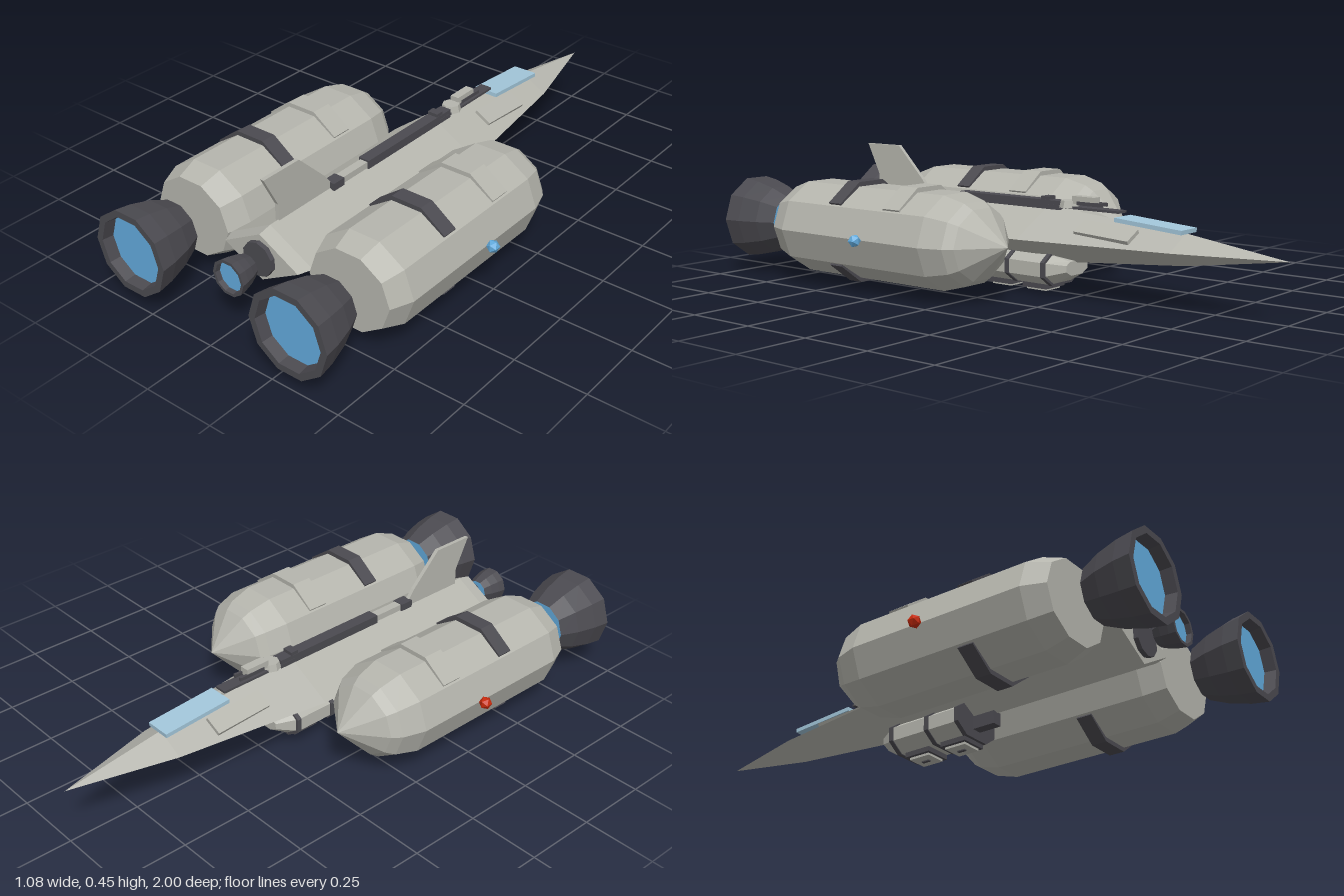
import * as THREE from 'three';

const flat = (name, color) => new THREE.MeshStandardMaterial({ name, color, flatShading: true });

export function createModel() {
  const grey = flat('hull grey', 0xb5b5ad);
  const dark = flat('dark metal', 0x4b4a50);
  const blue = flat('glow blue', 0x62aadc);
  const pale = flat('canopy blue', 0xa2c6da);
  const red = flat('signal red', 0xc82a0c);
  const model = new THREE.Group();
  const Y = 0.192;

  function add(name, geo, mat, x = 0, y = 0, z = 0, parent = model) {
    const mesh = new THREE.Mesh(geo, mat);
    mesh.name = name;
    mesh.position.set(x, y, z);
    parent.add(mesh);
    return mesh;
  }
  const box = (name, mat, w, h, d, x, y, z, parent) =>
    add(name, new THREE.BoxGeometry(w, h, d), mat, x, y, z, parent);

  // faceted body along z from [radius, z] pairs in rising z
  function turned(profile, sides, phi = 0, sy = 1) {
    const pts = profile.map(([r, z]) => new THREE.Vector2(r, z));
    return new THREE.LatheGeometry(pts, sides, phi).rotateX(Math.PI / 2).scale(1, sy, 1);
  }

  // strap over the three upper facets of a nacelle
  function strap(depth) {
    const shape = new THREE.Shape();
    const angles = [36, 72, 108, 144].map(THREE.MathUtils.degToRad);
    const pts = angles.map(a => new THREE.Vector2(Math.cos(a) * 0.179, Math.sin(a) * 0.179));
    angles.reverse().forEach(a => pts.push(new THREE.Vector2(Math.cos(a) * 0.165, Math.sin(a) * 0.146)));
    shape.setFromPoints(pts);
    return new THREE.ExtrudeGeometry(shape, { depth, bevelEnabled: false }).translate(0, 0, -depth / 2);
  }

  // engine bell with recessed glow
  function bell(name, parent, throat, rim, z0, z1, sides, phi) {
    const L = z1 - z0;
    add(name, turned([
      [throat, z0], [throat + (rim - throat) * 0.5, z0 + L * 0.33],
      [throat + (rim - throat) * 0.85, z0 + L * 0.7], [rim, z1],
      [rim * 0.84, z1], [rim * 0.8, z1 - L * 0.22]], sides, phi), dark, 0, 0, 0, parent);
    add(name + 'Glow', turned([[rim * 0.82, z1 - L * 0.2], [0, z1 - L * 0.2]], sides, phi), blue, 0, 0, 0, parent);
    add(name + 'Throat', turned([[0, z0], [throat, z0]], sides, phi), blue, 0, 0, 0, parent);
  }

  // central diamond hull
  add('hull', turned([[0, -1], [0.094, -0.64], [0.172, -0.1], [0.168, 0.72], [0.15, 0.768], [0, 0.768]],
    4, 0, 0.55), grey, 0, Y, 0);

  // side nacelles
  for (const s of [-1, 1]) {
    const g = new THREE.Group();
    g.name = s > 0 ? 'leftNacelle' : 'rightNacelle';
    g.position.set(s * 0.322 - 0.002, Y, 0);
    model.add(g);
    add('nacelleBody', turned([[0, -0.188], [0.135, -0.08], [0.158, -0.05], [0.183, 0.03], [0.183, 0.66],
      [0.153, 0.735], [0, 0.735]], 10, Math.PI / 10, 0.89), grey, 0, 0, 0, g);
    add('upperDarkStrap', strap(0.055), dark, 0, 0, 0.437, g);
    add('lowerDarkStrap', strap(0.055), dark, 0, 0, 0.437, g).rotation.z = Math.PI;
    add('upperGreyStrap', strap(0.074), grey, 0, 0, 0.18, g);
    bell('engineBell', g, 0.092, 0.148, 0.807, 1, 10, Math.PI / 10);
    add('sideLight', new THREE.IcosahedronGeometry(0.022, 0), s > 0 ? blue : red, s * 0.2, 0, 0.29, g);
  }

  // centre engine
  const tail = new THREE.Group();
  tail.name = 'centreEngine';
  tail.position.set(0, Y, 0);
  model.add(tail);
  add('mountRing', turned([[0, 0.76], [0.06, 0.768], [0.06, 0.784], [0, 0.784]], 10), dark, 0, 0, 0, tail);
  bell('smallBell', tail, 0.04, 0.063, 0.823, 0.908, 10, Math.PI / 10);

  // tail fin
  const fin = new THREE.Shape([[-0.74, 0.45], [-0.685, 0.34], [-0.685, 0.27], [-0.42, 0.27], [-0.47, 0.335],
    [-0.585, 0.45]].map(([z, y]) => new THREE.Vector2(z, y)));
  add('tailFin', new THREE.ExtrudeGeometry(fin, { depth: 0.014, bevelEnabled: false })
    .translate(0, 0, -0.007).rotateY(Math.PI / 2), grey, -0.003);

  // canopy and slanted hull panels
  box('canopy', pale, 0.09, 0.014, 0.252, 0, 0.26, -0.525).rotation.x = -0.075;
  for (const s of [-1, 1]) {
    box('hullPanel', grey, 0.066, 0.014, 0.21, s * 0.07, 0.231, -0.385).rotation.set(-0.06, 0, -s * 0.5);
  }

  // dorsal spine and gun
  box('spine', dark, 0.042, 0.03, 0.44, 0, 0.293, 0.06);
  box('spineCollar', dark, 0.04, 0.035, 0.03, 0, 0.302, -0.1);
  box('spineTail', grey, 0.03, 0.022, 0.12, 0, 0.291, 0.34);
  box('spineEnd', dark, 0.042, 0.026, 0.05, 0, 0.291, 0.425);
  box('gunRail', dark, 0.044, 0.008, 0.3, 0, 0.29, -0.25);
  add('gunTurret', new THREE.CylinderGeometry(0.03, 0.036, 0.024, 8), grey, 0, 0.3, -0.19);
  box('gunBody', grey, 0.032, 0.026, 0.09, 0, 0.316, -0.255);
  for (const s of [-1, 1]) box('gunBarrel', dark, 0.009, 0.012, 0.1, s * 0.014, 0.306, -0.28);

  // belly pod with dark hoops, skids and tail coupling
  const pod = k => new THREE.Shape([[-0.05, -0.045], [0.05, -0.045], [0.097, -0.012], [0.097, 0.035],
    [0.06, 0.06], [-0.06, 0.06], [-0.097, 0.035], [-0.097, -0.012]]
    .map(([x, y]) => new THREE.Vector2(x * k, y * k)));
  const slab = (k, depth) => new THREE.ExtrudeGeometry(pod(k), { depth, bevelEnabled: false });
  add('bellyPod', slab(1, 0.28), grey, 0, 0.074, -0.15);
  const nose = slab(1, 0.07), p = nose.attributes.position;
  for (let i = 0; i < p.count; i++) {
    if (p.getZ(i) < 0.01) p.setXY(i, p.getX(i) * 0.6, p.getY(i) * 0.45 + 0.012);
  }
  nose.computeVertexNormals();
  add('podNose', nose, grey, 0, 0.074, -0.22);
  for (const z of [-0.16, -0.01, 0.115]) add('podHoop', slab(1.05, 0.016), dark, 0, 0.074, z);
  box('podCoupling', dark, 0.038, 0.045, 0.09, 0, 0.08, 0.17);
  for (const z of [-0.08, 0.07]) {
    box('skid', dark, 0.1, 0.02, 0.1, 0, 0.022, z);
    box('skidPad', grey, 0.076, 0.01, 0.08, 0, 0.009, z);
    box('skidStud', dark, 0.012, 0.008, 0.03, 0, 0.004, z);
  }
  return model;
}
